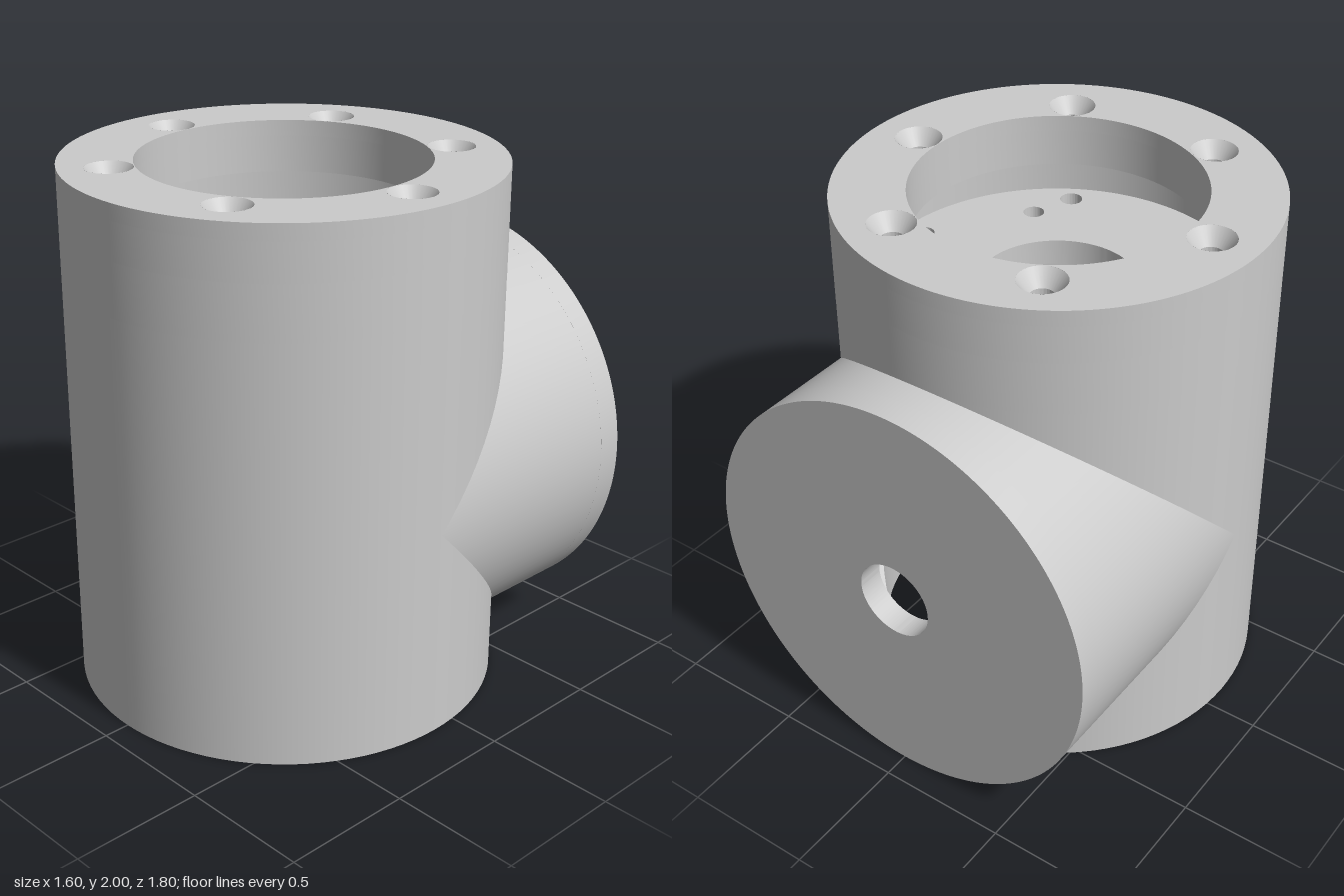
import * as THREE from 'three';
import { toCreasedNormals } from 'three/addons/utils/BufferGeometryUtils.js';

const N = 96;                 // segments round each pipe
const R = 0.8, RI = 0.7;      // outer and inner pipe radius
const AXIS = 0.8;             // height of the branch axis
const FLOOR = 1.5, SEAT = 1.6, END = -0.9;

const grey = new THREE.MeshStandardMaterial({ color: 0xcccccc });
const greyBoth = new THREE.MeshStandardMaterial({ color: 0xcccccc, side: THREE.DoubleSide });

// Closed smooth wall between two edge curves; sign -1 makes it face inwards
function wall(low, high, normal, sign) {
  const pos = [], nor = [], idx = [];
  for (let i = 0; i <= N; i++) {
    const t = (i / N) * Math.PI * 2, s = Math.sin(t), c = Math.cos(t);
    const n = normal(s, c).map(v => v * sign);
    pos.push(...low(s, c), ...high(s, c));
    nor.push(...n, ...n);
    if (i === N) continue;
    const a = i * 2, b = a + 1, d = a + 2, e = a + 3;
    if (sign > 0) idx.push(a, d, e, a, e, b);
    else idx.push(a, e, d, a, b, e);
  }
  const g = new THREE.BufferGeometry();
  g.setAttribute('position', new THREE.Float32BufferAttribute(pos, 3));
  g.setAttribute('normal', new THREE.Float32BufferAttribute(nor, 3));
  g.setIndex(idx);
  return g;
}

// Upright pipe, mitred round the branch opening at its back
const uprightNormal = (s, c) => [s, 0, c];
const lowerWall = (r, sign) => wall(
  (s, c) => [r * s, 0, r * c],
  (s, c) => [r * s, AXIS - r * Math.max(0, -c), r * c], uprightNormal, sign);
const upperWall = (r, top, sign) => wall(
  (s, c) => [r * s, AXIS + r * Math.max(0, -c), r * c],
  (s, c) => [r * s, top, r * c], uprightNormal, sign);

// Branch pipe running backwards from the mitre
const branchWall = (r, sign) => wall(
  (s, c) => [r * s, AXIS + r * c, -r * Math.abs(c)],
  (s, c) => [r * s, AXIS + r * c, END], (s, c) => [s, c, 0], sign);

// Round plate with holes given as [x, y, radius]
function plate(radius, holes, depth) {
  const shape = new THREE.Shape().absarc(0, 0, radius, 0, Math.PI * 2, false);
  for (const [x, y, r] of holes)
    shape.holes.push(new THREE.Path().absarc(x, y, r, 0, Math.PI * 2, true));
  const g = new THREE.ExtrudeGeometry(shape, { depth, bevelEnabled: false, curveSegments: N });
  return toCreasedNormals(g, Math.PI / 6);
}
const flatPlate = (radius, holes, depth, y) =>
  plate(radius, holes, depth).rotateX(-Math.PI / 2).translate(0, y, 0);

function circleOfHoles(count, start, distance, r) {
  return Array.from({ length: count }, (_, i) => {
    const a = start + (i / count) * Math.PI * 2;
    return [distance * Math.cos(a), distance * Math.sin(a), r];
  });
}

export function createModel() {
  const model = new THREE.Group();
  model.name = 'pipeTee';
  const body = new THREE.Group();
  body.name = 'body';
  body.position.z = 0.1;
  model.add(body);
  const add = (name, geometry, material = grey) => {
    const mesh = new THREE.Mesh(geometry, material);
    mesh.name = name;
    body.add(mesh);
    return mesh;
  };

  // Hollow upright pipe and branch
  add('lowerOuterWall', lowerWall(R, 1));
  add('upperOuterWall', upperWall(R, SEAT, 1));
  add('lowerInnerWall', lowerWall(RI, -1));
  add('upperInnerWall', upperWall(RI, FLOOR, -1));
  add('branchOuterWall', branchWall(R, 1));
  add('branchInnerWall', branchWall(RI, -1));
  add('bottomRim', new THREE.RingGeometry(RI, R, N).rotateX(Math.PI / 2));

  // Branch end cap with its central hole
  add('branchCap', plate(R, [[0, 0, 0.15]], 0.1).translate(0, AXIS, END - 0.1));

  // Inner floor: centre opening, bolt holes and four small holes
  const bolts = circleOfHoles(6, 0, 0.62, 0.043);
  const pins = circleOfHoles(4, Math.PI / 4, 0.523, 0.04);
  add('floorPlate', flatPlate(RI, [[0, 0, 0.3], ...bolts, ...pins], SEAT - FLOOR, FLOOR));

  // Lid: skirt and overhanging ring, with countersunk bolt holes
  const opening = [0, 0, 0.53], sink = 0.06;
  add('lidSkirt', flatPlate(R, [[0, 0, RI]], 0.2, SEAT));
  add('lidRing', flatPlate(R, [opening, ...bolts], 0.2 - sink, 1.8));
  add('lidTop', flatPlate(R, [opening, ...circleOfHoles(6, 0, 0.62, 0.087)], sink, 2 - sink));
  for (const [x, z] of bolts) {
    const cone = new THREE.CylinderGeometry(0.087, 0.043, sink, 32, 1, true);
    add('countersink', cone, greyBoth).position.set(x, 2 - sink / 2, z);
  }
  return model;
}
